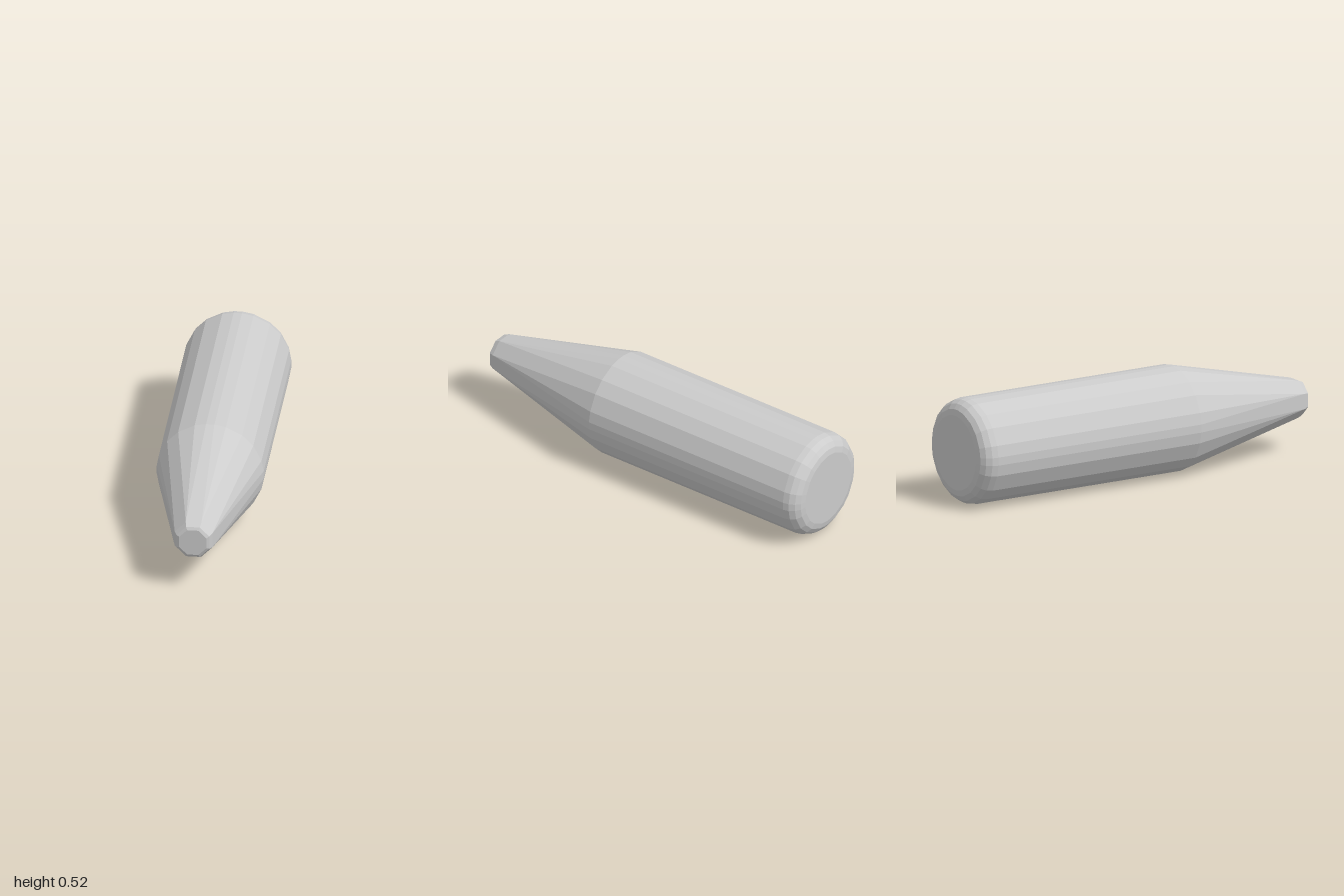
import * as THREE from 'three';

const R = 0.2615; // barrel radius, also the height of the axis
const material = new THREE.MeshStandardMaterial({ color: 0xcccccc, flatShading: true });

// 24 uneven corner angles of the barrel, six per quadrant
const angles = [];
for (let q = 0; q < 4; q++) {
  for (const deg of [4.4, 16.9, 36.6, 53.4, 73.1, 85.6]) angles.push(THREE.MathUtils.degToRad(q * 90 + deg));
}

// Barrel cross-section of radius r at depth z
function roundRing(r, z) {
  return angles.map((a) => new THREE.Vector3(r * Math.cos(a), R + r * Math.sin(a), z));
}

// Octagon with flat-to-centre distance h; three barrel corners meet at each of its corners
function octagonRing(h, z) {
  const r = h / Math.cos(Math.PI / 8);
  return angles.map((_, i) => {
    const a = Math.PI / 8 + Math.floor(i / 3) * Math.PI / 4;
    return new THREE.Vector3(r * Math.cos(a), R + r * Math.sin(a), z);
  });
}

// Skin a list of rings ordered from front to back, with optional flat ends
function loft(name, rings, capFront = false, capBack = false) {
  const positions = [];
  const triangle = (a, b, c) => {
    const area = b.clone().sub(a).cross(c.clone().sub(a)).length();
    if (area > 1e-9) for (const p of [a, b, c]) positions.push(p.x, p.y, p.z);
  };
  const n = angles.length;
  for (let j = 0; j < n; j++) {
    const k = (j + 1) % n;
    for (let i = 0; i + 1 < rings.length; i++) {
      triangle(rings[i][j], rings[i + 1][j], rings[i][k]);
      triangle(rings[i][k], rings[i + 1][j], rings[i + 1][k]);
    }
    const first = rings[0], last = rings[rings.length - 1];
    if (capFront) triangle(new THREE.Vector3(0, R, first[0].z), first[j], first[k]);
    if (capBack) triangle(new THREE.Vector3(0, R, last[0].z), last[k], last[j]);
  }
  const geometry = new THREE.BufferGeometry();
  geometry.setAttribute('position', new THREE.Float32BufferAttribute(positions, 3));
  geometry.computeVertexNormals();
  const mesh = new THREE.Mesh(geometry, material);
  mesh.name = name;
  return mesh;
}

export function createModel() {
  const group = new THREE.Group();
  group.name = 'taperedPeg';

  // Blunt octagonal nose with a small bevel
  group.add(loft('noseTip', [octagonRing(0.066, 1), octagonRing(0.08, 0.992), octagonRing(0.092, 0.965)], true));

  // Taper from the octagon to the round barrel
  group.add(loft('taper', [octagonRing(0.092, 0.965), roundRing(R, 0.255)]));

  // Straight faceted barrel
  group.add(loft('barrel', [roundRing(R, 0.255), roundRing(R, -0.92)]));

  // Rounded shoulder and flat back
  const shoulder = [];
  const steps = 4;
  for (let i = 0; i <= steps; i++) {
    const t = (i / steps) * Math.PI / 2;
    shoulder.push(roundRing(R - 0.076 * (1 - Math.cos(t)), -0.92 - 0.08 * Math.sin(t)));
  }
  group.add(loft('roundedEnd', shoulder, false, true));

  return group;
}
